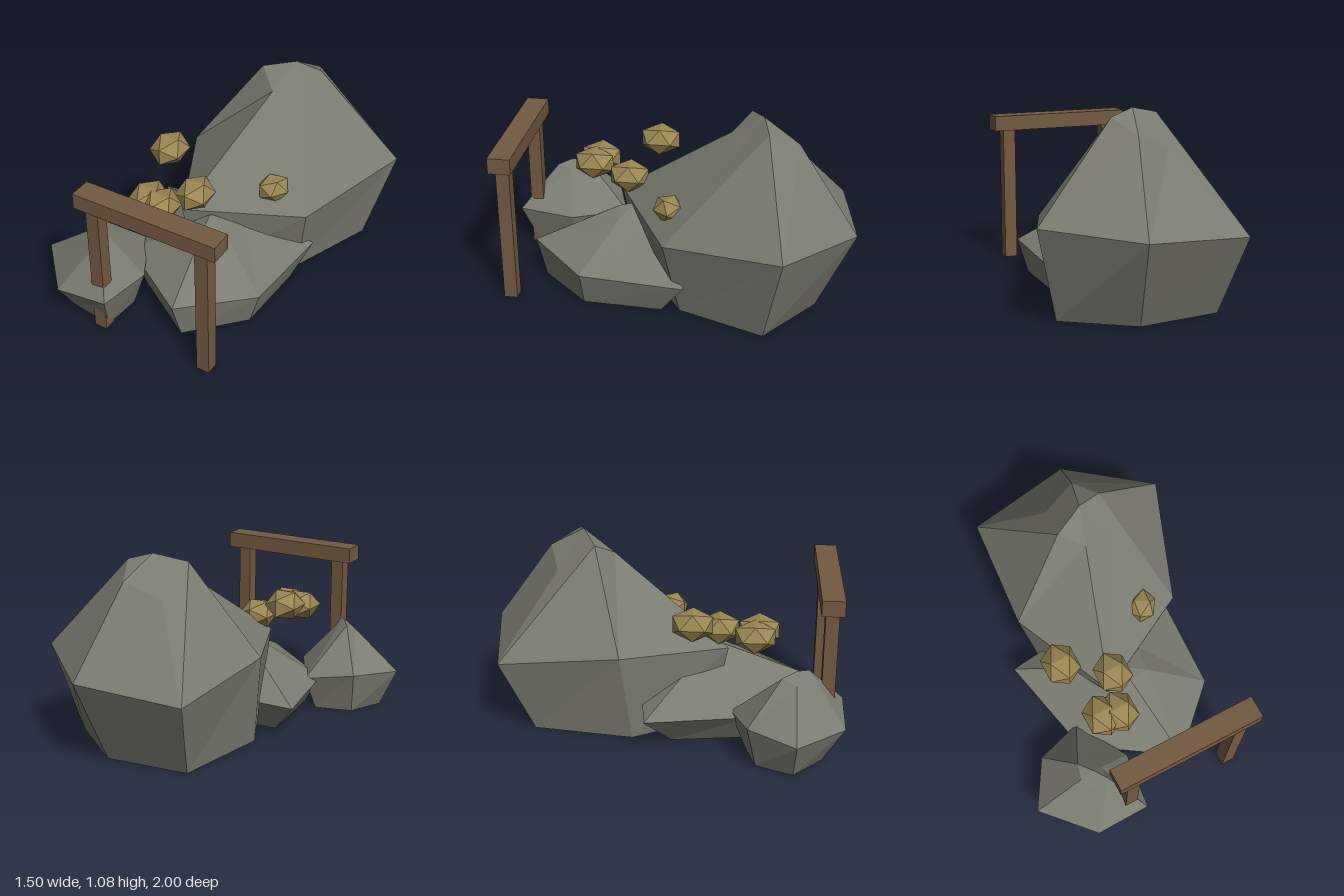
import * as THREE from 'three';

const paint = (name, color, extra = {}) => {
  const m = new THREE.MeshStandardMaterial({ color, flatShading: true, ...extra });
  m.name = name;
  return m;
};

// Six-sided boulder: ground ring, waist ring and shoulder ring, closed by a peak; open underneath.
// Each shoulder point lies part of the way (spread) from the peak to the waist point below it.
function boulder(name, material, { base, waist, height, phase, peak, spread }) {
  const n = waist.length;
  const wobble = [1, 1.083, 0.917];
  const lift = i => height * wobble[(i + phase) % 3];
  const ground = base.map(([x, z]) => [x, 0, z]);
  const middle = waist.map(([x, z], i) => [x, lift(i), z]);
  const shoulder = waist.map(([x, z], i) =>
    [peak[0] + (x - peak[0]) * spread[i], lift(i) * 2, peak[2] + (z - peak[2]) * spread[i]]);

  const pos = [];
  const tri = (...corners) => corners.forEach(c => pos.push(...c));
  for (let i = 0; i < n; i++) {
    const j = (i + 1) % n;
    for (const [lo, hi] of [[ground, middle], [middle, shoulder]]) {
      tri(lo[j], lo[i], hi[i]);
      tri(lo[j], hi[i], hi[j]);
    }
    tri(shoulder[j], shoulder[i], peak);
  }
  const geo = new THREE.BufferGeometry();
  geo.setAttribute('position', new THREE.Float32BufferAttribute(pos, 3));
  geo.computeVertexNormals();
  const mesh = new THREE.Mesh(geo, material);
  mesh.name = name;
  return mesh;
}

export function createModel() {
  const model = new THREE.Group();
  model.name = 'mineEntrance';
  const stone = paint('stone', 0x7b7c71, { side: THREE.DoubleSide });
  const wood = paint('wood', 0x735a40);
  const ore = paint('ore', 0x9a8652);

  // Boulders; base and waist points are [x, z]
  model.add(boulder('largeBoulder', stone, {
    base: [[0.25, -0.79], [0.61, -0.53], [0.42, -0.05], [-0.06, 0.26], [-0.30, -0.17], [-0.22, -0.73]],
    waist: [[0.30, -1.0], [0.745, -0.63], [0.50, 0.03], [-0.10, 0.36], [-0.37, -0.23], [-0.31, -0.91]],
    height: 0.48, phase: 0, peak: [0.155, 1.08, -0.47],
    spread: [0.37, 0.23, 0.31, 0.215, 0.33, 0.31],
  }));
  model.add(boulder('middleBoulder', stone, {
    base: [[0.41, 0.49], [0.14, 0.77], [-0.25, 0.52], [-0.31, 0.05], [0.01, 0.01], [0.43, 0.05]],
    waist: [[0.47, 0.50], [0.125, 0.83], [-0.36, 0.50], [-0.49, -0.09], [-0.02, -0.14], [0.50, -0.08]],
    height: 0.2, phase: 0, peak: [0.03, 0.45, 0.26],
    spread: [0.31, 0.15, 0.31, 0.22, 0.29, 0.31],
  }));
  model.add(boulder('smallBoulder', stone, {
    base: [[-0.24, 0.91], [-0.48, 0.88], [-0.65, 0.72], [-0.56, 0.52], [-0.35, 0.46], [-0.22, 0.69]],
    waist: [[-0.19, 1.0], [-0.50, 1.0], [-0.75, 0.73], [-0.59, 0.47], [-0.32, 0.38], [-0.15, 0.68]],
    height: 0.22, phase: 1, peak: [-0.39, 0.492, 0.73],
    spread: [0.25, 0.305, 0.22, 0.3, 0.305, 0.2],
  }));

  // Timber frame
  const frame = new THREE.Group();
  frame.name = 'timberFrame';
  const timber = (name, size, at) => {
    const mesh = new THREE.Mesh(new THREE.BoxGeometry(...size), wood);
    mesh.name = name;
    mesh.position.set(...at);
    frame.add(mesh);
  };
  timber('rightPost', [0.075, 0.8, 0.075], [-0.266, 0.4, 0.91]);
  timber('leftPost', [0.075, 0.8, 0.075], [0.387, 0.4, 0.91]);
  timber('crossBeam', [0.842, 0.09, 0.125], [0.061, 0.845, 0.908]);
  model.add(frame);

  // Ore nuggets: x, y, z, width, height, turn
  const nuggets = [
    [-0.297, 0.707, 0.165, 1, 1, 0],
    [-0.047, 0.58, 0.305, 1, 1, 0],
    [-0.22, 0.61, 0.503, 1, 1, 0],
    [-0.128, 0.61, 0.526, 1, 1, 0],
    [0.289, 0.562, 0.025, 0.78, 0.87, -0.6],
  ];
  const nuggetShape = new THREE.IcosahedronGeometry(0.109, 0);
  nuggetShape.scale(1, 0.83, 1.18);
  nuggets.forEach(([x, y, z, width, height, turn], i) => {
    const mesh = new THREE.Mesh(nuggetShape, ore);
    mesh.name = `oreNugget${i + 1}`;
    mesh.position.set(x, y, z);
    mesh.rotation.y = turn;
    mesh.scale.set(width, height, width);
    model.add(mesh);
  });

  return model;
}
